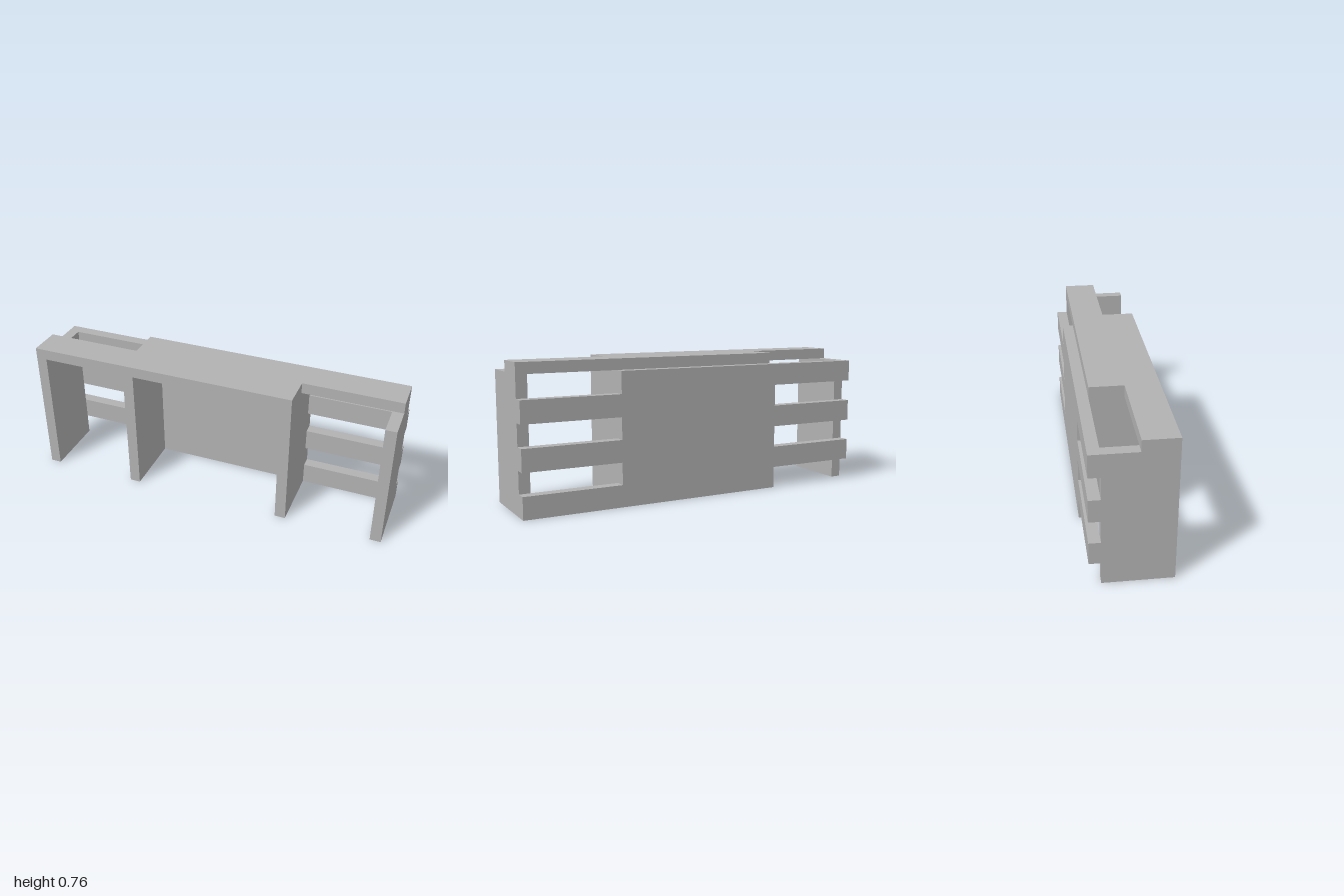
import * as THREE from 'three';

// One board thickness; every dimension is a whole or half multiple of it.
const T = 2 / 34;

function extrude(points, depth) {
  const shape = new THREE.Shape(points.map(([x, y]) => new THREE.Vector2(x * T, y * T)));
  return new THREE.ExtrudeGeometry(shape, { depth: depth * T, bevelEnabled: false });
}

export function createModel() {
  const group = new THREE.Group();
  const grey = new THREE.MeshStandardMaterial({ color: 0xb2b2b2 });
  grey.name = 'grey';

  const add = (name, geometry) => {
    const mesh = new THREE.Mesh(geometry, grey);
    mesh.name = name;
    group.add(mesh);
    return mesh;
  };

  // Four upright boards
  const uprights = [
    ['rightOuterUpright', -16.5], ['rightInnerUpright', -7.5],
    ['leftInnerUpright', 7.5], ['leftOuterUpright', 16.5],
  ];
  for (const [name, x] of uprights) {
    add(name, new THREE.BoxGeometry(T, 12 * T, 6 * T)).position.set(x * T, 6 * T, 0.5 * T);
  }

  // Back panel whose slats alternate in height between the two sides
  const outline = [[-8, 0], [17, 0]];
  for (const y of [0, 4, 8]) {
    if (y > 0) outline.push([8, y], [17, y]);
    outline.push([17, y + 2], [8, y + 2]);
  }
  outline.push([8, 12]);
  for (const y of [10, 6, 2]) {
    if (y < 10) outline.push([-8, y + 2]);
    outline.push([-17, y + 2], [-17, y], [-8, y]);
  }
  add('slattedBack', extrude(outline, 1)).position.z = -3.5 * T;

  // Z-shaped top: a front arm to one side and a rear arm to the other
  const top = extrude([
    [-17, -3.5], [8, -3.5], [8, -0.5], [17, -0.5],
    [17, 2.5], [-8, 2.5], [-8, -0.5], [-17, -0.5],
  ], 1);
  top.rotateX(-Math.PI / 2);
  add('steppedTop', top).position.y = 12 * T;

  return group;
}
